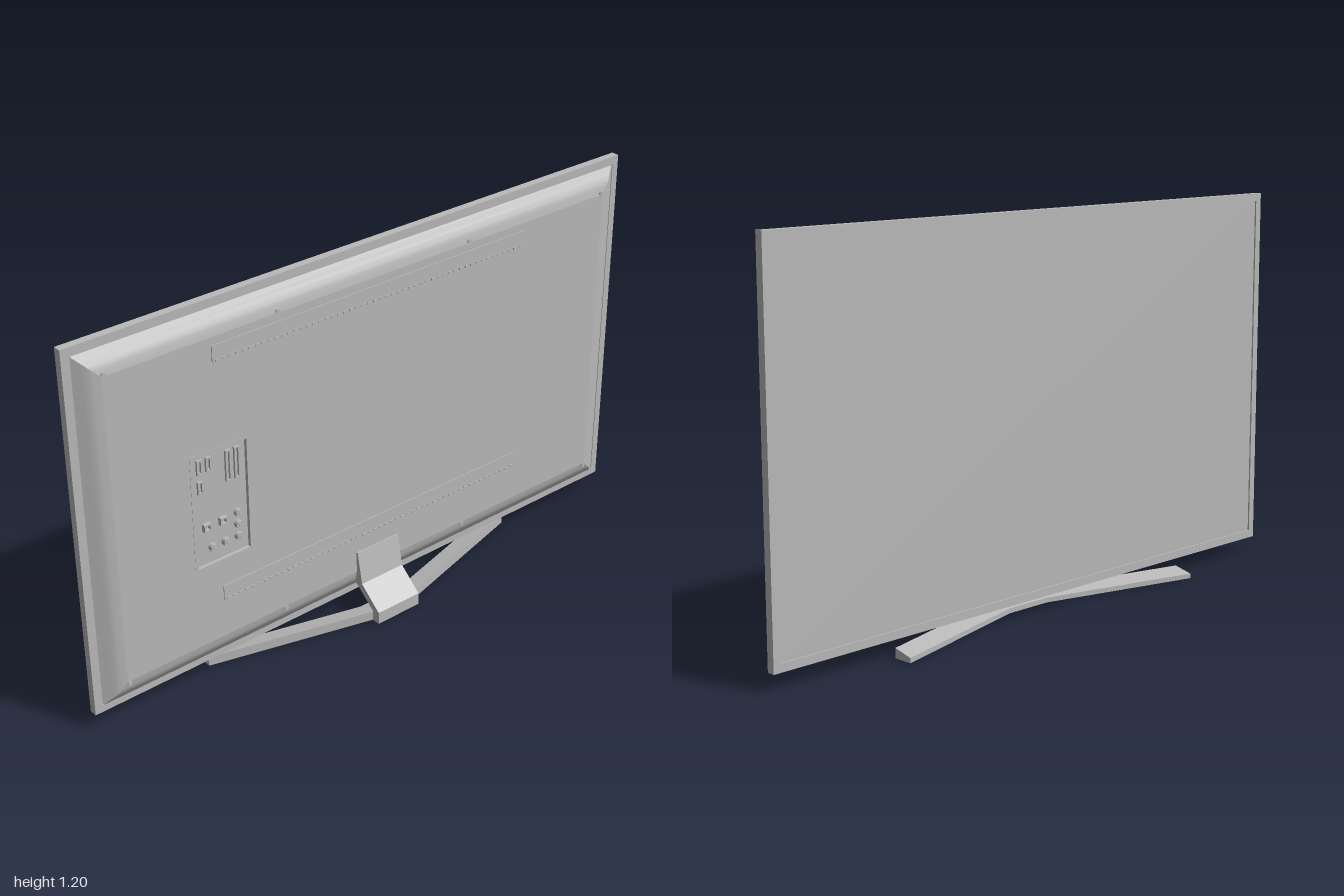
import * as THREE from 'three';

const grey = new THREE.MeshStandardMaterial({ color: 0xb9b9b9 });
grey.name = 'grey';

function add(parent, name, geometry, x = 0, y = 0, z = 0) {
  const mesh = new THREE.Mesh(geometry, grey);
  mesh.name = name;
  mesh.position.set(x, y, z);
  parent.add(mesh);
  return mesh;
}

const box = (w, h, d) => new THREE.BoxGeometry(w, h, d);

// Rectangle outline; works for both shapes and holes
function rect(x0, y0, x1, y1, Type = THREE.Shape) {
  const p = new Type();
  p.moveTo(x0, y0).lineTo(x1, y0).lineTo(x1, y1).lineTo(x0, y1).closePath();
  return p;
}

function extrudeFlat(shape, depth) {
  return new THREE.ExtrudeGeometry(shape, { depth, bevelEnabled: false });
}

function fromQuads(quads) {
  const pos = [];
  for (const [a, b, c, d] of quads) pos.push(...a, ...b, ...c, ...a, ...c, ...d);
  const g = new THREE.BufferGeometry();
  g.setAttribute('position', new THREE.Float32BufferAttribute(pos, 3));
  g.computeVertexNormals();
  return g;
}

// One curved side of the rear cover, running between two neighbouring corners
function coverSide(from, to, profile, halfW, halfH, midY) {
  const pos = [], index = [];
  profile.forEach(([inset, z], k) => {
    for (const [sx, sy] of [from, to]) pos.push(sx * (halfW - inset), midY + sy * (halfH - inset), z);
    if (k) {
      const a = 2 * k - 2;
      index.push(a, a + 1, a + 3, a, a + 3, a + 2);
    }
  });
  const g = new THREE.BufferGeometry();
  g.setAttribute('position', new THREE.Float32BufferAttribute(pos, 3));
  g.setIndex(index);
  g.computeVertexNormals();
  return g;
}

export function createModel() {
  const model = new THREE.Group();
  model.name = 'television';
  const backZ = 0.01;

  // Bezel and recessed screen, facing -z
  const bezel = rect(-1, 0.05, 1, 1.195);
  bezel.holes.push(rect(-0.977, 0.075, 0.977, 1.172, THREE.Path));
  add(model, 'bezel', extrudeFlat(bezel, 0.025), 0, 0, -0.045);
  add(model, 'screen', box(1.97, 1.11, 0.018), 0, 0.6235, -0.031);

  // Rear cover: rounded edges and a flat back with a pocket for the sockets
  const cover = new THREE.Group();
  cover.name = 'rearCover';
  model.add(cover);
  const profile = [[0, -0.022], [0.018, -0.01], [0.032, 0], [0.046, 0.006], [0.068, backZ]];
  const corners = [[-1, -1], [1, -1], [1, 1], [-1, 1]];
  const halfW = 0.973, halfH = 0.549, midY = 0.618;
  corners.forEach((c, i) =>
    add(cover, 'coverEdge', coverSide(c, corners[(i + 1) % 4], profile, halfW, halfH, midY)));
  const w = halfW - 0.068, h = halfH - 0.068;
  const back = rect(-w, midY - h, w, midY + h);
  const pocket = [-0.655, 0.395, -0.465, 0.76];
  back.holes.push(rect(...pocket, THREE.Path));
  add(cover, 'backPanel', new THREE.ShapeGeometry(back), 0, 0, backZ);

  // Socket pocket: rim walls and floor
  const rim = rect(-0.66, 0.39, -0.46, 0.765);
  rim.holes.push(rect(-0.65, 0.4, -0.47, 0.755, THREE.Path));
  add(cover, 'socketRim', extrudeFlat(rim, 0.012), 0, 0, -0.001);
  add(cover, 'socketFloor', box(0.19, 0.365, 0.008), -0.56, 0.5775, -0.004);

  // Round sockets
  for (const [x, y] of [[-0.595, 0.45], [-0.55, 0.45], [-0.505, 0.45], [-0.505, 0.49], [-0.505, 0.528]]) {
    add(cover, 'roundSocket', new THREE.CylinderGeometry(0.012, 0.012, 0.015, 20).rotateX(Math.PI / 2), x, y, 0.0075);
    add(cover, 'socketPin', new THREE.CylinderGeometry(0.005, 0.005, 0.003, 12).rotateX(Math.PI / 2), x, y, 0.016);
  }
  // Square sockets
  for (const x of [-0.612, -0.557]) {
    const socket = rect(-0.012, -0.012, 0.012, 0.012);
    socket.holes.push(rect(-0.007, -0.007, 0.007, 0.007, THREE.Path));
    add(cover, 'squareSocket', extrudeFlat(socket, 0.013), x, 0.523, 0);
  }
  // Upright slots
  for (const [x, y, height] of [[-0.625, 0.72, 0.045], [-0.595, 0.72, 0.045], [-0.625, 0.655, 0.04],
    [-0.53, 0.69, 0.1], [-0.5, 0.69, 0.1]]) {
    const slot = rect(-0.009, -height / 2, 0.009, height / 2);
    slot.holes.push(rect(-0.004, 0.005 - height / 2, 0.004, height / 2 - 0.005, THREE.Path));
    add(cover, 'slotSocket', extrudeFlat(slot, 0.007), x, y, 0);
  }

  // Ventilation strips with a row of slats
  for (const y of [1.05, 0.285]) {
    add(cover, 'ventStrip', box(1.14, 0.05, 0.004), 0, y, backZ + 0.001);
    for (let i = 0; i < 52; i++) {
      add(cover, 'ventSlat', box(0.012, 0.006, 0.003), -0.555 + i * 0.02177, y - 0.02, backZ + 0.004);
    }
  }

  // Screws
  for (const x of [-0.9, -0.35, 0.35, 0.9]) {
    for (const y of [0.13, 1.105]) {
      add(cover, 'screw', new THREE.CylinderGeometry(0.007, 0.007, 0.006, 12).rotateX(Math.PI / 2), x, y, backZ);
    }
  }

  // Swept foot, thicker along its +z edge
  const stations = [[-0.592, -0.052], [-0.08, 0.085], [0.08, 0.085], [0.592, -0.052]];
  const sections = stations.map(([x, z]) =>
    [[x, 0, z], [x, 0.03, z], [x, 0.015, z - 0.061], [x, 0, z - 0.061]]);
  const quads = [];
  for (let i = 0; i < 3; i++) {
    const p = sections[i], q = sections[i + 1];
    for (let j = 0; j < 4; j++) {
      const k = (j + 1) % 4;
      quads.push([p[j], q[j], q[k], p[k]]);
    }
  }
  const last = sections[3];
  quads.push(sections[0], [last[0], last[3], last[2], last[1]]);
  add(model, 'foot', fromQuads(quads));

  // Bent neck, drawn as a side profile (z, y) and extruded across x
  const neck = new THREE.Shape([[0.113, 0], [0.113, 0.04], [0.035, 0.105], [0.015, 0.208], [0.005, 0.208],
    [0.005, 0.098], [0.085, 0.034], [0.085, 0]].map(([z, y]) => new THREE.Vector2(z, y)));
  add(model, 'neck', extrudeFlat(neck, 0.16).rotateY(-Math.PI / 2), 0.08);

  return model;
}
